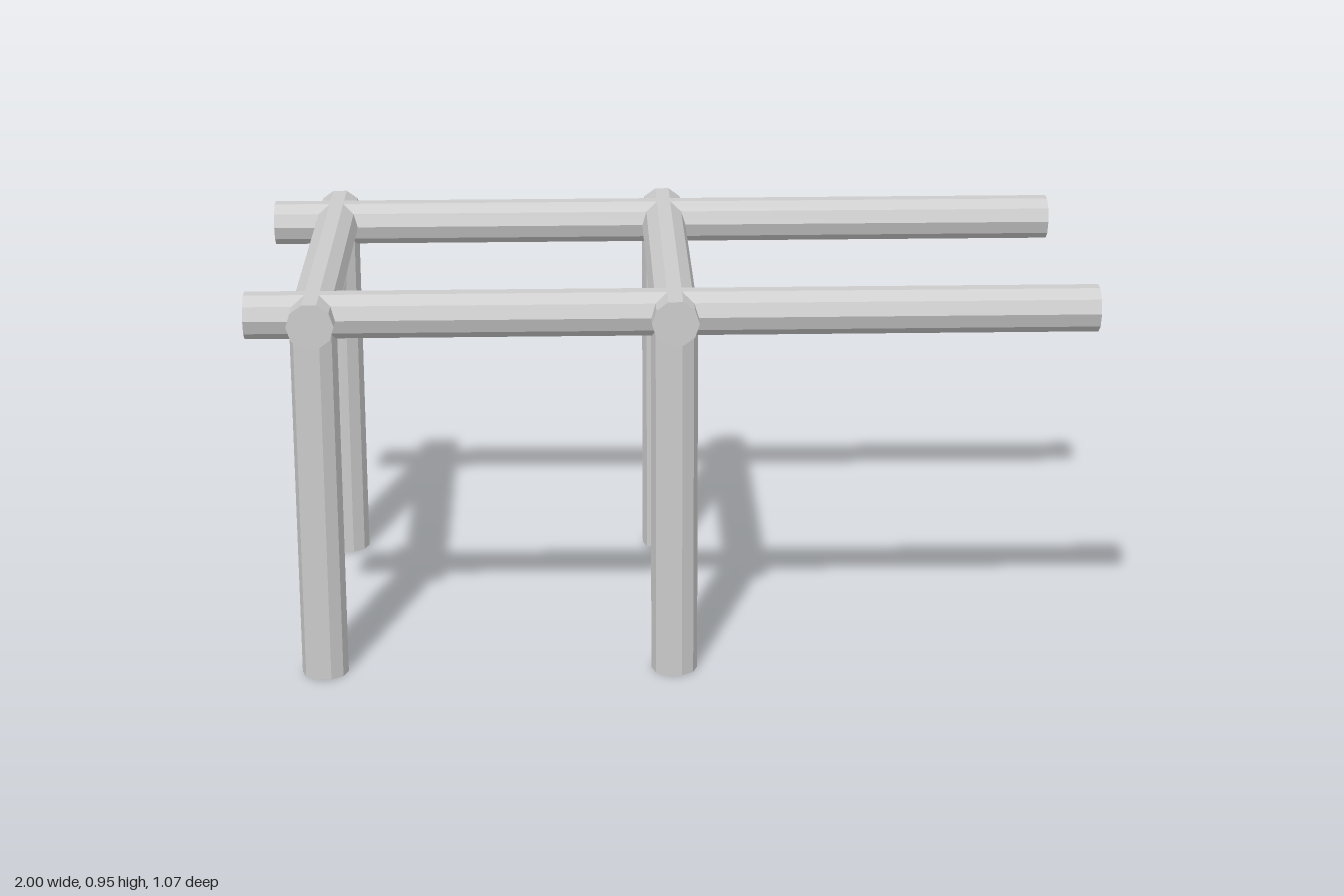
import * as THREE from 'three';

const R = 0.0555; // log radius, ten-sided
const BEAM_Y = 0.897;
const ROWS_X = [-0.841, 0.003];

export function createModel() {
  const model = new THREE.Group();
  const wood = new THREE.MeshStandardMaterial({ color: 0xcccccc, flatShading: true });
  const smooth = new THREE.MeshStandardMaterial({ color: 0xcccccc, side: THREE.DoubleSide });

  function add(name, geometry, material, x, y, z) {
    const mesh = new THREE.Mesh(geometry, material);
    mesh.name = name;
    mesh.position.set(x, y, z);
    model.add(mesh);
  }
  const log = (length) => new THREE.CylinderGeometry(R, R, length, 10);

  // Two long rails running left to right, flat side up
  for (const z of [0.432, -0.415]) {
    add('longBeam', log(2).rotateZ(Math.PI / 2), wood, 0, BEAM_Y, z);
  }

  for (const x of ROWS_X) {
    // Cross beam joining the rails
    add('crossBeam', log(1.072).rotateY(Math.PI / 2).rotateX(Math.PI / 2), wood, x, BEAM_Y, 0);

    // Front and back posts, ending inside the joint
    for (const [z, bottom] of [[0.44, 0], [-0.415, 0.004]]) {
      const height = BEAM_Y - bottom;
      add('post', log(height).rotateY(Math.PI / 2), wood, x, bottom + height / 2, z);
    }
  }

  // Waisted lanterns with shallow pointed ends, below the end cross beam
  const profile = [[0, -0.08], [0.049, -0.061], [0.0435, 0], [0.049, 0.061], [0, 0.08]]
    .map(([r, y]) => new THREE.Vector2(r, y));
  for (const z of [0.274, -0.24]) {
    add('lantern', new THREE.LatheGeometry(profile, 8), smooth, -0.857, 0.748, z);
  }
  return model;
}
